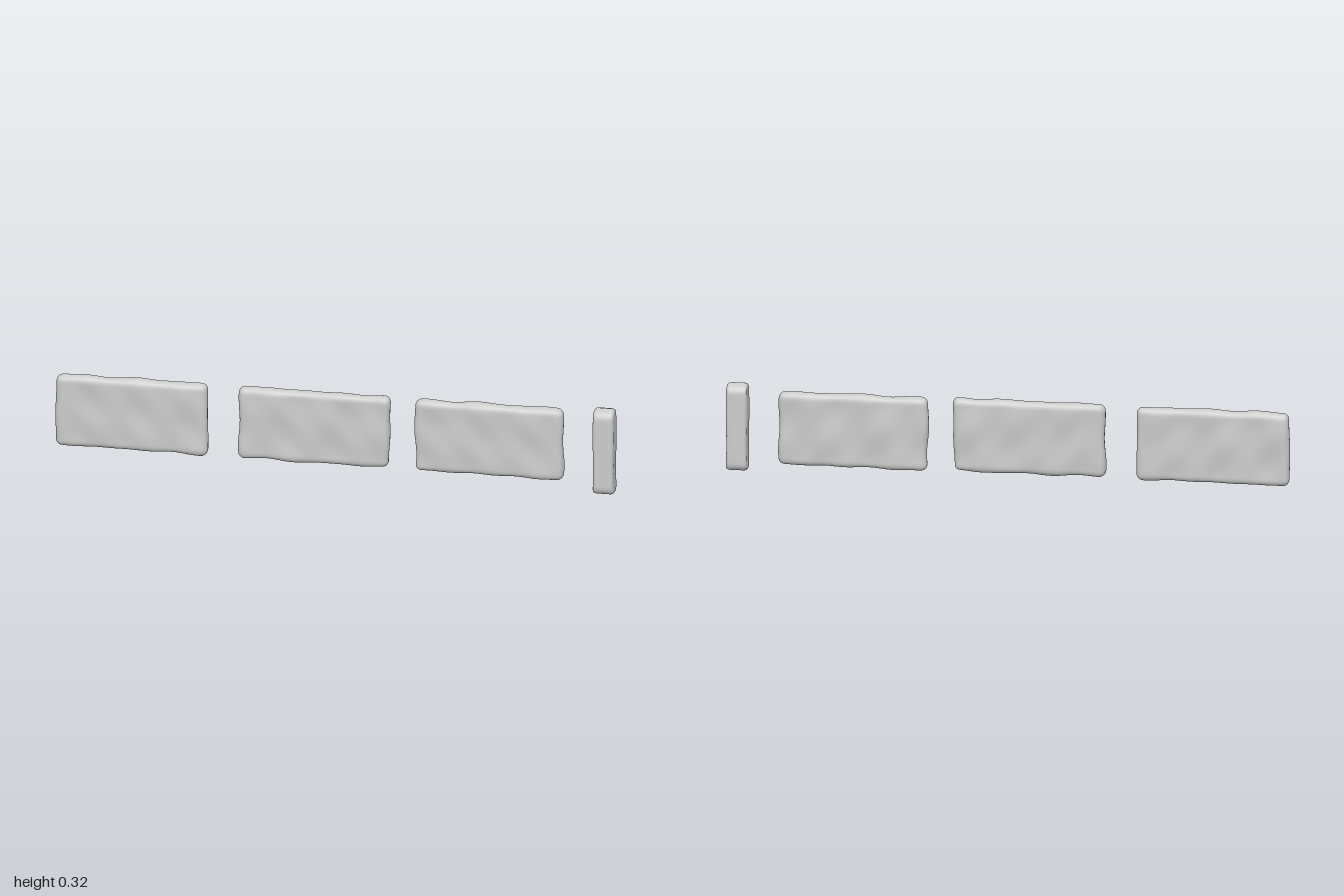
import * as THREE from 'three';
import { mergeVertices } from 'three/addons/utils/BufferGeometryUtils.js';

const material = new THREE.MeshStandardMaterial({ color: 0xcccccc });

// Box with rounded edges and a fine skin; shape(p, n) then bends each point p with outward normal n
function softBox(size, segments, radius, shape) {
  let geometry = new THREE.BoxGeometry(...size, ...segments);
  geometry.deleteAttribute('uv');
  geometry.deleteAttribute('normal');
  geometry = mergeVertices(geometry, 1e-5);
  const inner = new THREE.Vector3(...size).multiplyScalar(0.5).subScalar(radius);
  const low = inner.clone().negate();
  const pos = geometry.attributes.position;
  const p = new THREE.Vector3();
  for (let i = 0; i < pos.count; i++) {
    p.fromBufferAttribute(pos, i);
    const core = p.clone().clamp(low, inner);
    const n = p.clone().sub(core).normalize();
    p.copy(core).addScaledVector(n, radius);
    shape(p, n);
    pos.setXYZ(i, p.x, p.y, p.z);
  }
  geometry.computeVertexNormals();
  return geometry;
}

// Gentle hand-worn waves, different for every seed
const wave = (p, seed) =>
  0.5 * Math.sin(17 * p.x + 13 * p.y + 2.1 * seed) * Math.cos(23 * p.y - 9 * p.x + 40 * p.z + seed) +
  0.3 * Math.sin(31 * p.x - 19 * p.y + 3.7 * seed) +
  0.2 * Math.cos(43 * p.x + 37 * p.y + 1.3 * seed);

export function createModel() {
  const group = new THREE.Group();

  // Three worn slabs in a row: x from, x to, centre y, centre z
  const slabs = [
    ['rightSlab', -0.997, -0.457, 0.17, -0.008],
    ['middleSlab', -0.343, 0.194, 0.172, -0.006],
    ['leftSlab', 0.285, 0.813, 0.168, -0.013],
  ];
  slabs.forEach(([name, x0, x1, y, z], i) => {
    const shape = (p, n) => p.addScaledVector(n, 0.005 * wave(p, i + 1));
    const mesh = new THREE.Mesh(softBox([x1 - x0, 0.265, 0.05], [64, 36, 8], 0.022, shape), material);
    mesh.name = name;
    mesh.position.set((x0 + x1) / 2, y, z);
    group.add(mesh);
  });

  // Upright post with crowned, tapered ends
  const post = new THREE.Mesh(softBox([0.074, 0.322, 0.078], [12, 36, 12], 0.013, (p, n) => {
    const end = Math.max(0, Math.abs(p.y) - 0.125) / 0.036;
    const side = Math.abs(p.z) / 0.039;
    p.y -= Math.sign(p.y) * 0.009 * side * end;
    p.z *= 1 - 0.25 * end * end;
    p.x += n.x * 0.001 * Math.sin(26 * p.y);
  }), material);
  post.name = 'post';
  post.position.set(0.962, 0.161, 0.001);
  group.add(post);

  return group;
}
